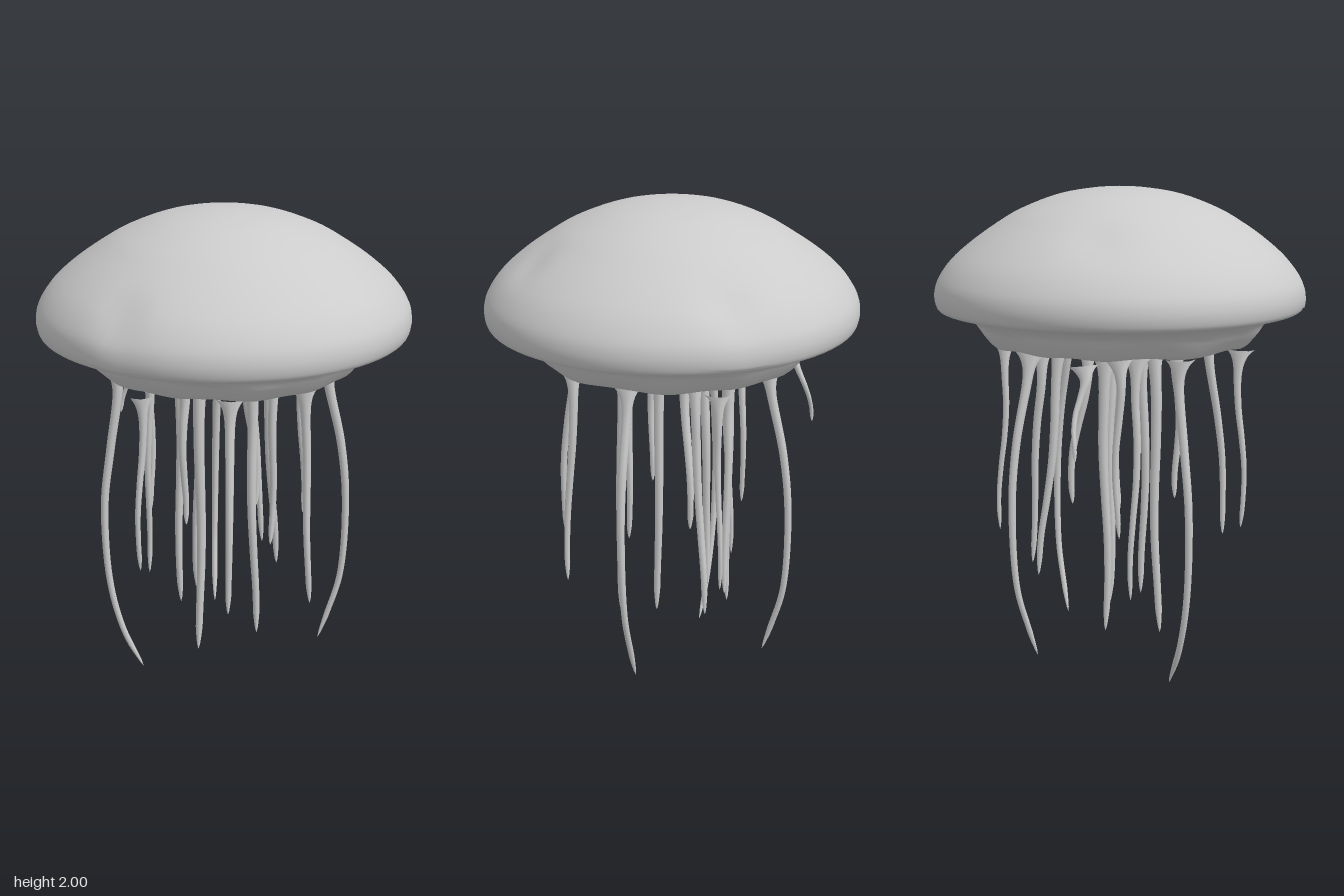
import * as THREE from 'three';
import { mergeVertices } from 'three/addons/utils/BufferGeometryUtils.js';

const material = new THREE.MeshStandardMaterial({ color: 0xcccccc });

// Bell: lathed profile from the underside centre, round the rim, up to the crown
function makeBell() {
  const profile = [
    [0, 1.335], [0.2, 1.34], [0.38, 1.36], [0.5, 1.37], [0.53, 1.38], [0.565, 1.42],
    [0.6, 1.465], [0.65, 1.495], [0.7, 1.505], [0.735, 1.512], [0.75, 1.535],
    [0.754, 1.58], [0.738, 1.635], [0.685, 1.71], [0.6, 1.785], [0.5, 1.855],
    [0.4, 1.913], [0.25, 1.97], [0.1, 1.996], [0, 2],
  ].map(([r, y]) => new THREE.Vector2(r, y));
  const points = new THREE.SplineCurve(profile).getPoints(76);
  points[0].x = points[points.length - 1].x = 0;
  let geo = new THREE.LatheGeometry(points, 72);
  geo.deleteAttribute('uv');
  geo.deleteAttribute('normal');
  geo = mergeVertices(geo, 1e-4);

  // Soft dents on the crown [x, z, depth, width], plus a wavy underside
  const dents = [[0.48, -0.45, 0.025, 0.09], [-0.42, 0.55, 0.025, 0.08],
    [0.42, 0.4, 0.015, 0.07], [-0.4, -0.35, 0.012, 0.1]];
  const pos = geo.attributes.position;
  for (let i = 0; i < pos.count; i++) {
    const x = pos.getX(i), y = pos.getY(i), z = pos.getZ(i);
    let dy = 0;
    if (y > 1.53) {
      for (const [dx, dz, depth, width] of dents) {
        dy -= depth * Math.exp(-((x - dx) ** 2 + (z - dz) ** 2) / (width * width));
      }
    } else if (y < 1.45) {
      dy = 0.008 * Math.sin(x * 17) * Math.cos(z * 17);
    }
    pos.setY(i, y + dy);
  }
  geo.computeVertexNormals();
  return geo;
}

// Tentacle: tube along a curve, flared at the root and tapered at the tip
function makeTentacle(points, thickness) {
  const curve = new THREE.CatmullRomCurve3(points);
  const segments = 60, sides = 8;
  const geo = new THREE.TubeGeometry(curve, segments, 1, sides);
  const pos = geo.attributes.position;
  const v = new THREE.Vector3();
  const length = curve.getLength();
  for (let i = 0; i <= segments; i++) {
    const t = i / segments;
    const centre = curve.getPointAt(t);
    const flare = 0.045 * Math.exp(-t * length / 0.035);
    const taper = 1 - 0.45 * t;
    const tip = Math.sqrt(Math.max(0.004, Math.min(1, (1 - t) * 12)));
    const radius = (thickness * taper + flare) * tip;
    for (let j = 0; j <= sides; j++) {
      const k = i * (sides + 1) + j;
      v.fromBufferAttribute(pos, k).sub(centre).multiplyScalar(radius).add(centre);
      pos.setXYZ(k, v.x, v.y, v.z);
    }
  }
  return geo;
}

export function createModel() {
  const model = new THREE.Group();
  const bell = new THREE.Mesh(makeBell(), material);
  bell.name = 'bell';
  model.add(bell);

  const tentacles = new THREE.Group();
  tentacles.name = 'tentacles';
  model.add(tentacles);
  const add = (name, points, thickness) => {
    const mesh = new THREE.Mesh(
      makeTentacle(points.map((p) => new THREE.Vector3(...p)), thickness), material);
    mesh.name = name;
    tentacles.add(mesh);
  };

  // Long outer tentacles: [direction x, direction z, radius and height steps]
  const long = [
    [-1, 0, [[0.44, 1.36], [0.435, 1.25], [0.47, 1.0], [0.5, 0.75], [0.485, 0.4], [0.43, 0.17], [0.35, 0]]],
    [1, 0, [[0.42, 1.36], [0.435, 1.25], [0.49, 1.0], [0.515, 0.75], [0.5, 0.4], [0.45, 0.22], [0.41, 0.1]]],
    [0, -1, [[0.42, 1.36], [0.435, 1.25], [0.49, 1.0], [0.515, 0.75], [0.5, 0.4], [0.45, 0.22], [0.41, 0.1]]],
    [0, 1, [[0.44, 1.36], [0.445, 1.25], [0.49, 1.0], [0.515, 0.8], [0.517, 0.48]]],
  ];
  long.forEach(([dx, dz, steps]) => add('longTentacle', steps.map(([r, y]) => {
    const sway = 0.02 * (1.36 - y) / 1.36;
    return [dx * r - Math.abs(dz) * sway, y, dz * r + Math.abs(dx) * sway * -dx];
  }), 0.02));

  // Hanging tentacles: root x, root z, tip x, tip z, tip y, thickness
  const hanging = [
    [-0.34, 0.36, -0.36, 0.37, 0.61, 0.016],
    [0.35, -0.35, 0.37, -0.37, 0.54, 0.016],
    [-0.37, -0.39, -0.42, -0.47, 1.0, 0.014],
    [0.3, 0.3, 0.33, 0.33, 0.43, 0.02],
    [-0.3, -0.11, -0.32, -0.14, 0.37, 0.018],
    [-0.3, -0.19, -0.3, -0.2, 0.63, 0.018],
    [-0.18, -0.18, -0.18, -0.18, 0.21, 0.023],
    [-0.17, 0.17, -0.17, 0.17, 0.72, 0.02],
    [-0.1, 0.1, -0.11, 0.12, 0.13, 0.025],
    [-0.1, -0.1, -0.11, -0.12, 0.3, 0.023],
    [0.1, 0.18, 0.12, 0.19, 0.23, 0.023],
    [0.1, -0.1, 0.15, -0.15, 0.67, 0.022],
    [0.12, -0.3, 0.19, -0.32, 0.43, 0.02],
    [0.19, -0.18, 0.24, -0.25, 0.35, 0.022],
    [0.2, 0.1, 0.19, 0.11, 0.6, 0.02],
  ];
  hanging.forEach(([x, z, tx, tz, ty, thickness], n) => {
    const points = [];
    for (let i = 0; i <= 6; i++) {
      const t = i / 6;
      const blend = t * t * (3 - 2 * t);
      const wave = i === 0 ? 0 : 0.007 * Math.sin(t * 7 + n * 2);
      points.push([x + (tx - x) * blend + wave, 1.355 + (ty - 1.355) * t, z + (tz - z) * blend - wave]);
    }
    add('hangingTentacle', points, thickness);
  });
  return model;
}
